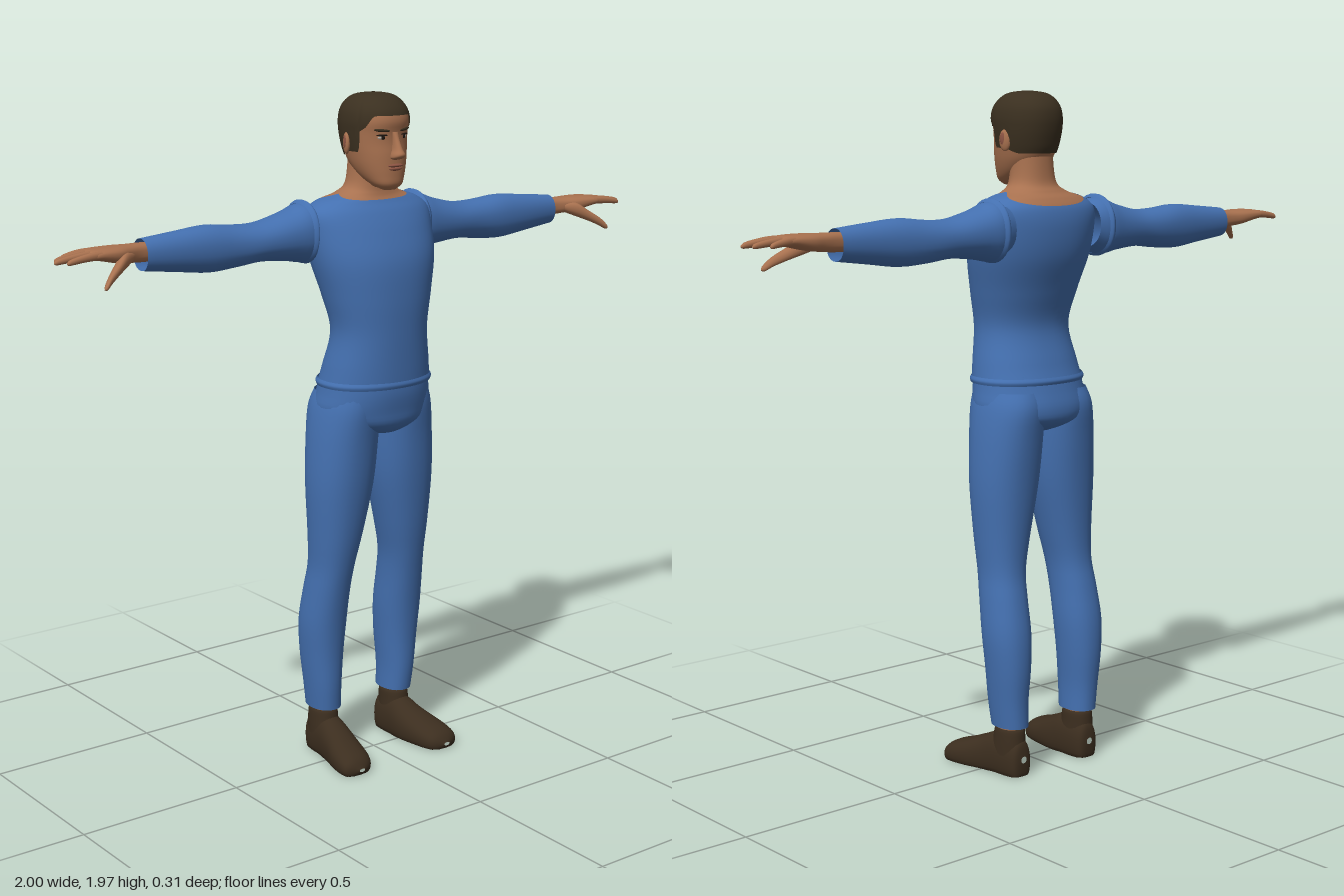
import * as THREE from 'three';

const mat = (name, color, side = THREE.FrontSide) => {
  const m = new THREE.MeshStandardMaterial({ color, side });
  m.name = name;
  return m;
};

// Catmull-Rom between cross-section rows at fractional index t
function rowAt(rows, t) {
  const n = rows.length - 1;
  t = Math.min(Math.max(t, 0), n);
  const i = Math.min(Math.floor(t), n - 1), f = t - i;
  const p = k => rows[Math.min(Math.max(k, 0), n)];
  return rows[i].map((_, c) => {
    const a = p(i - 1)[c], b = p(i)[c], d = p(i + 1)[c], e = p(i + 2)[c];
    return b + 0.5 * f * (d - a + f * (2 * a - 5 * b + 4 * d - e + f * (3 * (b - d) + e - a)));
  });
}

// Axis orders: a loft row is [along, a0, a1, b0, b1]
const UP = (s, a, b) => [a, s, b];      // along y, a = x, b = z
const OUT = (s, a, b) => [s, b, a];     // along x, a = z, b = y
const FORWARD = (s, a, b) => [b, a, s]; // along z, a = y, b = x

// Smooth skin through rounded cross-sections; from/to may vary around the ring
function loft(rows, map, { from = () => 0, to = () => rows.length - 1, grow = 0, power = 2.2, seg = 32, steps = 4 } = {}) {
  const count = (rows.length - 1) * steps, pos = [], index = [];
  const bend = v => Math.sign(v) * Math.abs(v) ** (2 / power);
  for (let i = 0; i <= count; i++) {
    for (let j = 0; j < seg; j++) {
      const th = (j / seg) * Math.PI * 2, c = Math.cos(th), s = Math.sin(th);
      const t = THREE.MathUtils.lerp(from(s), to(s), i / count);
      const [along, a0, a1, b0, b1] = rowAt(rows, t);
      pos.push(...map(along, (a0 + a1) / 2 + bend(c) * Math.max((a1 - a0) / 2 + grow, 0),
        (b0 + b1) / 2 + bend(s) * Math.max((b1 - b0) / 2 + grow, 0)));
      if (i < count) {
        const k = (j + 1) % seg, A = i * seg + j, B = i * seg + k;
        index.push(A, A + seg, B, B, A + seg, B + seg);
      }
    }
  }
  const g = new THREE.BufferGeometry();
  g.setAttribute('position', new THREE.Float32BufferAttribute(pos, 3));
  g.setIndex(index);
  g.computeVertexNormals();
  return g;
}

function mirrored(geometry) {
  const g = geometry.clone().scale(-1, 1, 1);
  const ix = g.index.array;
  for (let i = 0; i < ix.length; i += 3) [ix[i], ix[i + 1]] = [ix[i + 1], ix[i]];
  g.computeVertexNormals();
  return g;
}

function blob(x, y, z, rx, ry, rz, turn = 0, tilt = 0) {
  return new THREE.SphereGeometry(1, 16, 12).scale(rx, ry, rz).rotateZ(tilt).rotateY(turn).translate(x, y, z);
}

export function createModel() {
  const root = new THREE.Group();
  root.name = 'standingMan';
  const skin = mat('skin', 0xa8714f);
  const cloth = mat('blueCloth', 0x4470b0, THREE.DoubleSide);
  const hair = mat('darkHair', 0x3b3020, THREE.DoubleSide);
  const leather = mat('shoeLeather', 0x3c2e1f);
  const lip = mat('lip', 0x8c5443);
  const white = mat('eyeWhite', 0xb8aca0);
  const dark = mat('iris', 0x1e1610);

  const add = (name, geometry, material) => {
    const m = new THREE.Mesh(geometry, material);
    m.name = name;
    root.add(m);
  };
  const pair = (name, geometry, material) => {
    add(name + 'Left', geometry, material);
    add(name + 'Right', mirrored(geometry), material);
  };

  // Torso: one body surface, split at the scooped neckline
  const body = [
    [1.15, -.168, .168, -.13, .13], [1.2, -.16, .16, -.112, .132], [1.3, -.145, .145, -.086, .135],
    [1.4, -.165, .165, -.11, .136], [1.5, -.19, .19, -.142, .128], [1.58, -.2, .2, -.15, .1],
    [1.635, -.197, .197, -.142, .072], [1.665, -.16, .16, -.122, .05], [1.685, -.1, .1, -.1, .04],
    [1.715, -.069, .069, -.082, .036], [1.8, -.06, .06, -.075, .035]];
  const neckline = f => f > 0 ? 8 - 0.8 * f : 8 + 1.7 * f;
  add('shirt', loft(body, UP, { to: neckline, grow: .002, seg: 48 }), cloth);
  add('neck', loft(body, UP, { from: f => neckline(f) - .4, seg: 48 }), skin);

  // Trousers: hips, waistband and legs
  add('hips', loft([
    [1.165, -.166, .166, -.126, .126], [1.12, -.172, .172, -.138, .127], [1.07, -.178, .178, -.15, .12],
    [1.03, -.15, .15, -.14, .112], [1, -.06, .06, -.08, .08], [.985, 0, 0, 0, 0]].reverse(), UP, { seg: 48 }), cloth);
  add('waistband', loft([
    [1.14, -.172, .172, -.132, .13], [1.15, -.175, .175, -.135, .133], [1.16, -.17, .17, -.13, .13]], UP, { seg: 48, grow: .002 }), cloth);
  pair('trouserLeg', loft([
    [.145, .088, .178, -.138, -.015], [.22, .088, .187, -.14, -.008], [.32, .08, .198, -.147, -.004],
    [.42, .073, .205, -.143, .006], [.52, .072, .199, -.125, .022], [.6, .066, .193, -.11, .037],
    [.7, .044, .198, -.11, .055], [.85, .012, .205, -.12, .075], [.98, .002, .197, -.132, .088],
    [1.07, .004, .182, -.14, .1], [1.12, .01, .165, -.125, .1]], UP), cloth);

  // Ankles and shoes
  pair('ankle', loft([
    [.08, .098, .17, -.12, -.03], [.15, .1, .168, -.118, -.035], [.26, .1, .168, -.12, -.03]], UP), skin);
  pair('shoe', loft([
    [-.135, .04, .06, .12, .14], [-.128, -.02, .1, .1, .162], [-.1, -.03, .115, .09, .172],
    [-.04, -.03, .12, .086, .18], [.01, -.03, .1, .086, .19], [.06, -.025, .08, .092, .205],
    [.11, -.02, .063, .102, .212], [.14, -.01, .046, .118, .205], [.156, .012, .022, .15, .17]],
    (s, a, b) => FORWARD(s, Math.max(a, 0), b)), leather);
  pair('shoeCollar', loft([
    [.06, .092, .175, -.13, -.005], [.1, .094, .174, -.127, -.022], [.136, .096, .171, -.122, -.03], [.137, .11, .16, -.105, -.045]], UP), leather);

  // Sleeves with a raised shoulder seam
  pair('sleeve', loft([
    [.16, -.14, 0, 1.52, 1.65], [.205, -.15, .005, 1.497, 1.662], [.26, -.146, .002, 1.505, 1.643],
    [.35, -.138, -.005, 1.513, 1.622], [.43, -.133, -.012, 1.505, 1.622], [.52, -.125, -.014, 1.5, 1.63],
    [.62, -.115, -.02, 1.512, 1.622], [.725, -.107, -.03, 1.525, 1.612]], OUT), cloth);
  pair('shoulderSeam', loft([
    [.188, -.15, .005, 1.5, 1.662], [.198, -.157, .012, 1.492, 1.672], [.21, -.15, .005, 1.498, 1.662]], OUT), cloth);

  // Hands: palm, four fingers, thumb
  pair('palm', loft([
    [.66, -.09, -.042, 1.55, 1.6], [.73, -.093, -.04, 1.55, 1.602], [.77, -.098, -.03, 1.553, 1.602],
    [.81, -.105, -.015, 1.557, 1.603], [.86, -.107, -.009, 1.568, 1.602], [.89, -.105, -.01, 1.574, 1.598],
    [.9, -.09, -.025, 1.583, 1.589]], OUT, { power: 2.6 }), skin);
  const fingers = [['index', -.022, -.014, .975], ['middle', -.046, -.042, .998], ['ring', -.07, -.071, .982], ['little', -.094, -.102, .948]];
  for (const [name, z0, z1, tip] of fingers) {
    const rows = [0, .3, .6, .85, .96, 1].map((f, i) => {
      const r = [.0115, .011, .0095, .008, .0055, 0][i];
      const z = z0 + (z1 - z0) * f, y = 1.587 - .011 * f * f;
      return [.87 + (tip - .87) * f, z - r, z + r, y - r, y + r];
    });
    pair(name + 'Finger', loft(rows, OUT, { seg: 12, steps: 3 }), skin);
  }
  pair('thumb', loft([
    [.765, -.06, -.03, 1.56, 1.585], [.8, -.046, -.006, 1.545, 1.587], [.835, -.022, .012, 1.53, 1.562],
    [.865, .002, .026, 1.515, 1.54], [.884, .016, .034, 1.503, 1.52], [.892, .027, .029, 1.506, 1.508]],
    OUT, { seg: 16 }), skin);

  // Head and cropped hair share one set of cross-sections
  const head = [
    [1.7, -.02, .02, .055, .085], [1.715, -.044, .044, .015, .1], [1.74, -.061, .061, -.035, .102],
    [1.77, -.073, .073, -.068, .102], [1.8, -.08, .08, -.085, .101], [1.83, -.085, .085, -.094, .098],
    [1.86, -.088, .088, -.1, .099], [1.89, -.089, .089, -.102, .104], [1.92, -.083, .083, -.096, .096],
    [1.945, -.067, .067, -.077, .074], [1.96, -.043, .043, -.048, .044], [1.966, 0, 0, -.002, -.002]];
  add('head', loft(head, UP, { seg: 48 }), skin);
  const step = THREE.MathUtils.smoothstep;
  const hairline = f => 3.7 + .5 * step(f, -.6, 0) + 2.1 * step(f, .3, .45) + 1.25 * step(f, .5, .8);
  add('hair', loft(head, UP, { from: hairline, grow: .004, seg: 72 }), hair);
  add('chinUnderside', blob(0, 1.718, .05, .04, .017, .045), skin);

  // Face
  add('nose', loft([
    [1.785, -.008, .008, .09, .105], [1.79, -.018, .018, .085, .125], [1.8, -.018, .018, .085, .135],
    [1.815, -.012, .012, .085, .127], [1.84, -.009, .009, .085, .114], [1.862, -.01, .01, .085, .104]], UP, { seg: 20 }), skin);
  add('upperLip', blob(0, 1.769, .1, .026, .005, .009), lip);
  add('lowerLip', blob(0, 1.76, .099, .022, .006, .009), lip);
  pair('eye', blob(.036, 1.847, .086, .015, .0065, .006, .3), white);
  pair('iris', blob(.036, 1.847, .09, .006, .006, .004, .3), dark);
  pair('upperLid', blob(.036, 1.8535, .088, .018, .003, .007, .3), dark);
  pair('brow', blob(.038, 1.867, .089, .024, .005, .007, .35, .08), hair);
  pair('ear', blob(.089, 1.828, -.008, .009, .031, .018, .35), skin);
  pair('earHollow', blob(.096, 1.832, -.006, .004, .018, .009, .35), lip);

  return root;
}
